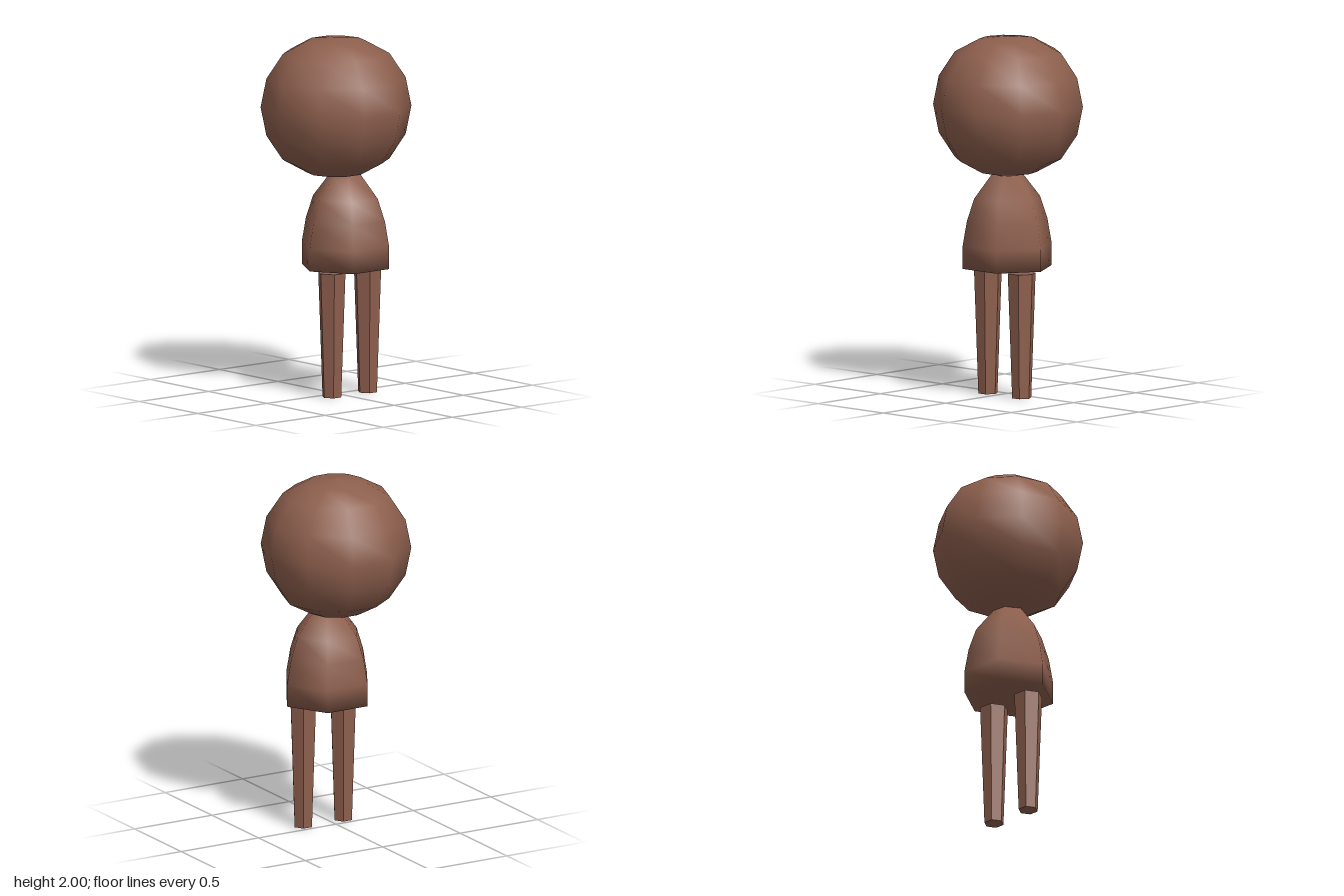
import * as THREE from 'three';

const skin = new THREE.MeshStandardMaterial({ color: 0x8d5f4d });
const skinFlat = new THREE.MeshStandardMaterial({ color: 0x8d5f4d, flatShading: true });

// Smooth solid of revolution from [radius, y] pairs (bottom to top), a corner on the x axis
function lathe(name, profile, sides) {
  const points = profile.map(([r, y]) => new THREE.Vector2(r, y));
  const mesh = new THREE.Mesh(new THREE.LatheGeometry(points, sides, Math.PI / 2), skin);
  mesh.name = name;
  return mesh;
}

export function createModel() {
  const model = new THREE.Group();
  model.name = 'figure';

  // Head: ten-sided ball with slightly flattened poles
  const upper = [[0.16, 0.37], [0.296, 0.296], [0.386, 0.16]];
  const head = lathe('head', [
    [0, -0.384],
    ...upper.map(([r, y]) => [r, -y]),
    [0.418, 0],
    ...upper.slice().reverse(),
    [0, 0.388],
  ], 10);
  head.position.y = 1.612;
  model.add(head);

  // Torso: six-sided bell, closed at both ends
  const torso = lathe('torso', [
    [0, 0.715], [0.257, 0.715], [0.257, 0.84], [0.232, 0.98],
    [0.19, 1.105], [0.09, 1.235], [0, 1.235],
  ], 6);
  torso.position.set(0.033, 0, 0.042);
  model.add(torso);

  // Legs: tapered hexagonal posts
  const legGeometry = new THREE.CylinderGeometry(0.08, 0.055, 0.698, 6, 1, false, Math.PI / 2);
  for (const [name, x] of [['rightLeg', -0.088], ['leftLeg', 0.17]]) {
    const leg = new THREE.Mesh(legGeometry, skinFlat);
    leg.name = name;
    leg.position.set(x, 0.349, 0.069);
    model.add(leg);
  }

  return model;
}
